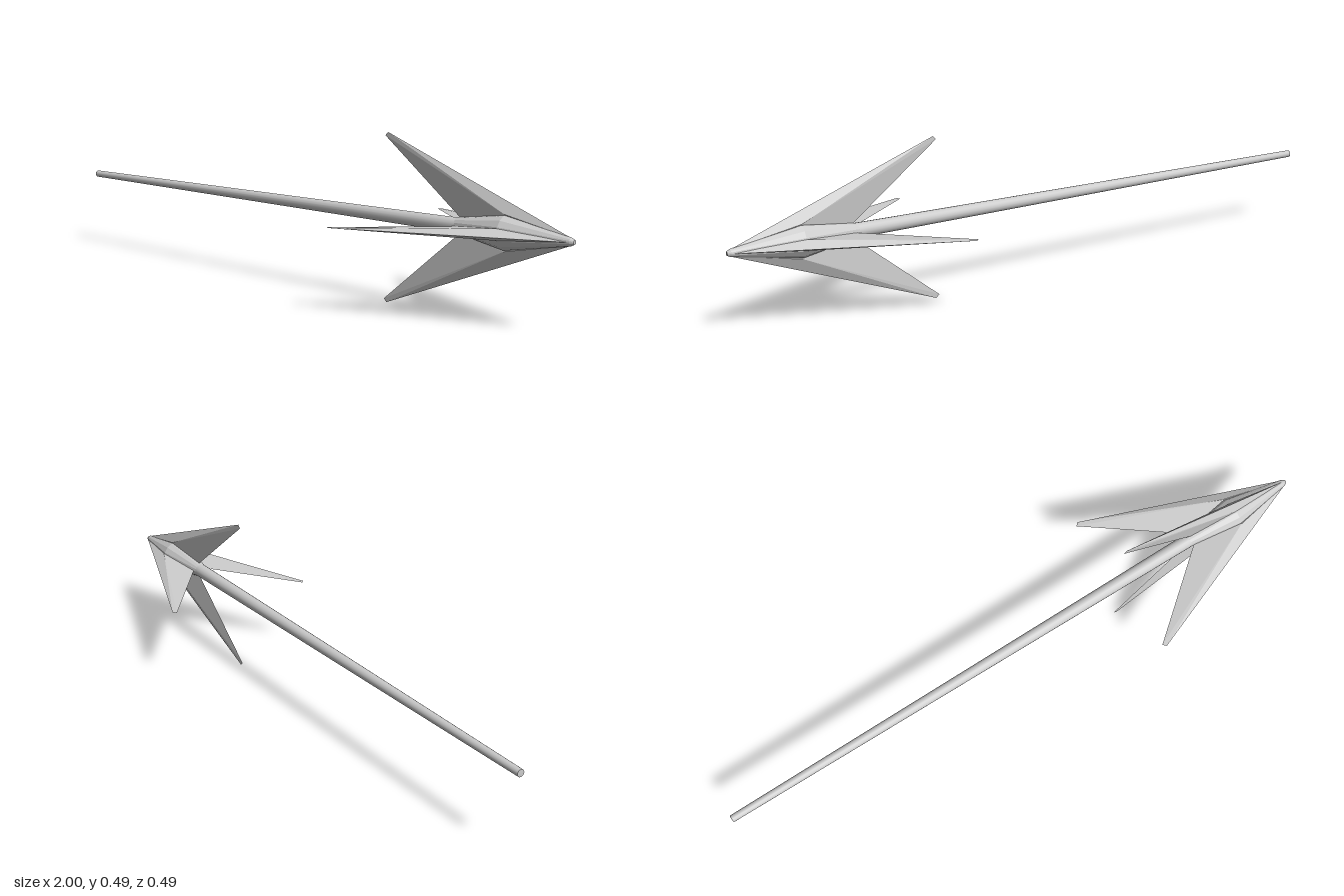
import * as THREE from 'three';

const material = new THREE.MeshStandardMaterial({ color: 0xcccccc, flatShading: true });
const smooth = new THREE.MeshStandardMaterial({ color: 0xcccccc });

// The head axis sits slightly off the line through the barb tips.
const AXIS_Y = 0.247;
const HEAD_Y = 0.256;
const HEAD_Z = -0.004;

// Turned solid along +x; profile is a list of [x, radius].
function turned(name, profile, sides, mat) {
  const points = profile.map(([x, r]) => new THREE.Vector2(r, x));
  const geometry = new THREE.LatheGeometry(points, sides);
  geometry.rotateZ(-Math.PI / 2);
  const mesh = new THREE.Mesh(geometry, mat);
  mesh.name = name;
  return mesh;
}

// Swept-back barb with a diamond section, pointing away from the axis at an angle.
function barb(angle) {
  const up = new THREE.Vector2(Math.cos(angle), Math.sin(angle));
  const side = new THREE.Vector2(-up.y, up.x);
  const point = (x, r, w, atTip) => [
    x,
    (atTip ? AXIS_Y : HEAD_Y) + up.x * r + side.x * w,
    (atTip ? 0 : HEAD_Z) + up.y * r + side.y * w,
  ];
  const outline = [
    point(0.37, 0.246, 0, true), // outer tip corner
    point(0.36, 0.236, 0, true), // inner tip corner
    point(0.63, 0.022, 0, false), // notch at the shaft
    point(0.995, 0.008, 0, false), // nose
  ];
  const positions = [];
  for (const s of [1, -1]) {
    const ridge = point(0.79, 0.05, 0.016 * s, false);
    outline.forEach((a, i) => {
      const b = outline[(i + 1) % outline.length];
      positions.push(...(s > 0 ? [a, b, ridge] : [b, a, ridge]).flat());
    });
  }
  const geometry = new THREE.BufferGeometry();
  geometry.setAttribute('position', new THREE.Float32BufferAttribute(positions, 3));
  geometry.computeVertexNormals();
  return new THREE.Mesh(geometry, material);
}

export function createModel() {
  const model = new THREE.Group();
  model.name = 'arrow';

  // Tapered shaft, tilted a touch to meet the head; doubled points keep the end sharp
  const shaft = turned('shaft',
    [[-1, 0], [-1, 0.011], [-0.999, 0.0112], [0.68, 0.022]], 16, smooth);
  shaft.geometry.translate(1, 0, 0);
  shaft.position.set(-1, AXIS_Y + 0.001, 0);
  shaft.rotation.set(0, 0.0022, 0.0045);
  model.add(shaft);

  // Bulging head core with a blunt nose
  const head = turned('headCore',
    [[0.62, 0.021], [0.79, 0.05], [0.99, 0.011], [1, 0.006], [1, 0]], 16, material);
  head.position.set(0, HEAD_Y, HEAD_Z);
  model.add(head);

  // Four barbs around the head
  ['top', 'left', 'bottom', 'right'].forEach((label, i) => {
    const mesh = barb(i * Math.PI / 2);
    mesh.name = `${label}Barb`;
    model.add(mesh);
  });
  return model;
}
